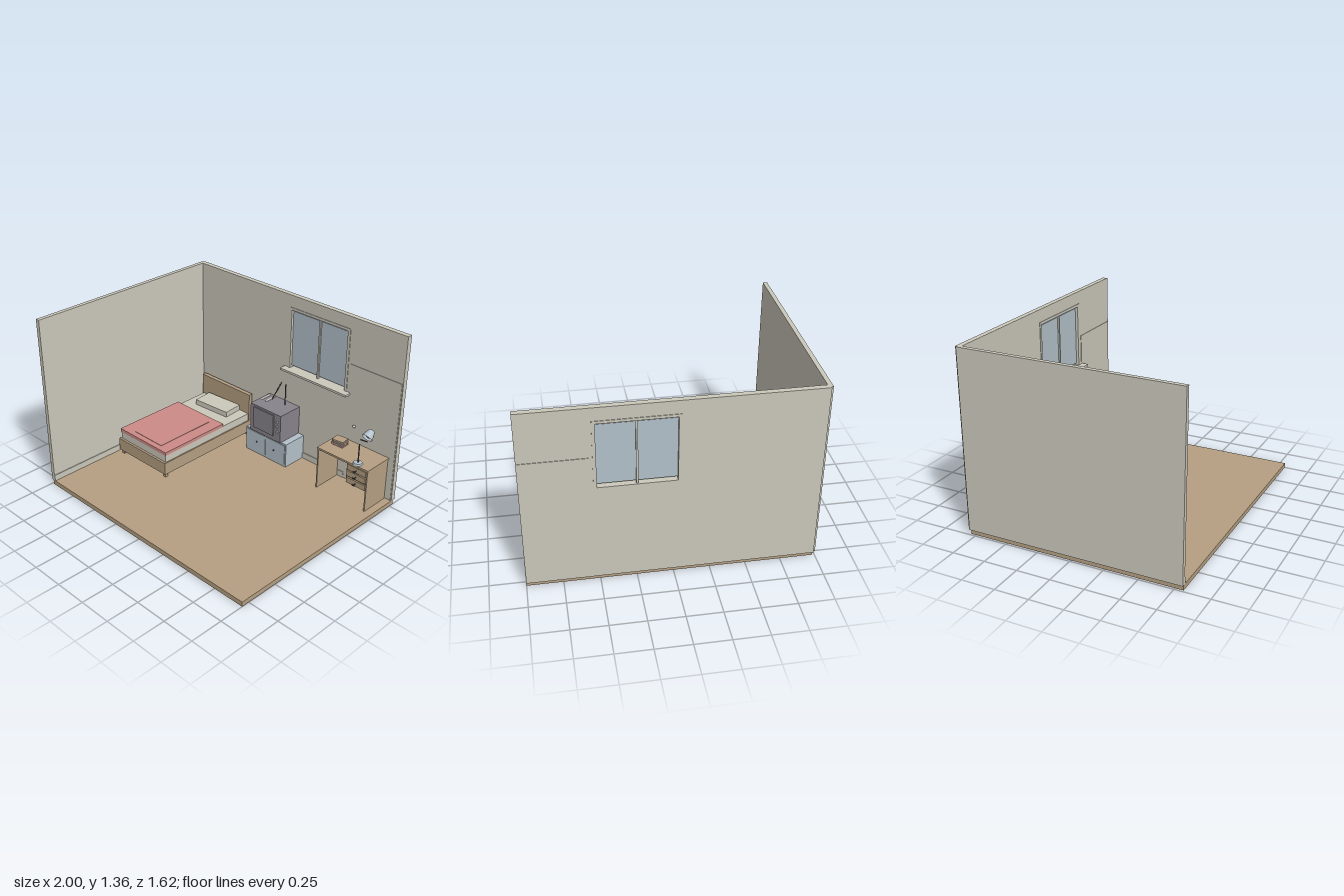
import * as THREE from 'three';

const mat = (name, color, side = THREE.FrontSide) => {
  const m = new THREE.MeshStandardMaterial({ color, side });
  m.name = name;
  return m;
};

export function createModel() {
  const wall = mat('warm white', 0xcbc8bb);
  const wood = mat('wood', 0xb59f82);
  const blue = mat('pale blue', 0xb3c1c9, THREE.DoubleSide);
  const pink = mat('pink', 0xcc8b87);
  const grey = mat('purple grey', 0x87838c);
  const dark = mat('dark metal', 0x55565b);

  const room = new THREE.Group();
  room.name = 'bedroom';
  const group = (name) => {
    const g = new THREE.Group();
    g.name = name;
    room.add(g);
    return g;
  };
  const add = (parent, name, geo, material, x = 0, y = 0, z = 0) => {
    const m = new THREE.Mesh(geo, material);
    m.name = name;
    m.position.set(x, y, z);
    parent.add(m);
    return m;
  };
  // Box given by its minimum and maximum on each axis
  const box = (parent, name, material, x0, x1, y0, y1, z0, z1) =>
    add(parent, name, new THREE.BoxGeometry(x1 - x0, y1 - y0, z1 - z0), material,
      (x0 + x1) / 2, (y0 + y1) / 2, (z0 + z1) / 2);
  // Thin cylinder between two points
  const rod = (parent, name, material, a, b, r) => {
    const p = new THREE.Vector3(...a), q = new THREE.Vector3(...b), d = q.clone().sub(p);
    const m = add(parent, name, new THREE.CylinderGeometry(r, r, d.length(), 10), material);
    m.position.copy(p).add(q).multiplyScalar(0.5);
    m.quaternion.setFromUnitVectors(new THREE.Vector3(0, 1, 0), d.normalize());
    return m;
  };
  // Upright panel with a rectangular hole
  const rect = (S, x0, x1, y0, y1) => new S([[x0, y0], [x1, y0], [x1, y1], [x0, y1]]
    .map(([x, y]) => new THREE.Vector2(x, y)));
  const panel = (parent, name, outer, hole, z0, z1) => {
    const s = rect(THREE.Shape, ...outer);
    s.holes.push(rect(THREE.Path, ...hole));
    add(parent, name, new THREE.ExtrudeGeometry(s, { depth: z1 - z0, bevelEnabled: false }), wall, 0, 0, z0);
  };

  // Floor, walls and baseboards
  const shell = group('room shell');
  const opening = [-0.02, 0.503, 0.77, 1.245];
  box(shell, 'floor', wood, -0.985, 1, 0, 0.037, -0.79, 0.81);
  box(shell, 'leftWall', wall, -1, -0.968, 0.037, 1.36, -0.795, 0.81);
  panel(shell, 'backWall', [-0.985, 1, 0.037, 1.36], opening, -0.81, -0.77);
  box(shell, 'leftBaseboard', wall, -0.97, -0.962, 0.037, 0.085, -0.77, 0.81);
  box(shell, 'backBaseboard', wall, -0.968, 0.55, 0.037, 0.085, -0.772, -0.764);

  // Window with two panes
  const win = group('window');
  panel(win, 'windowTrim', [-0.04, 0.525, 0.755, 1.265], opening, -0.814, -0.766);
  box(win, 'mullion', wall, 0.236, 0.25, 0.77, 1.245, -0.805, -0.775);
  for (const [x0, x1] of [[-0.02, 0.236], [0.25, 0.503]])
    box(win, 'pane', blue, x0, x1, 0.787, 1.23, -0.793, -0.787);
  box(win, 'windowSill', wall, -0.072, 0.56, 0.753, 0.77, -0.77, -0.714);

  // Flush door with a round knob
  const door = group('door');
  box(door, 'doorLeaf', wall, 0.548, 0.992, 0.04, 1.0, -0.814, -0.766);
  rod(door, 'knobStem', wall, [0.628, 0.523, -0.768], [0.628, 0.523, -0.755], 0.005);
  add(door, 'knob', new THREE.SphereGeometry(0.011, 16, 10), wall, 0.628, 0.523, -0.752);

  // Bed
  const bed = group('bed');
  box(bed, 'headboard', wood, -0.93, -0.395, 0.07, 0.405, -0.756, -0.722);
  box(bed, 'bedFrame', wood, -0.93, -0.395, 0.07, 0.17, -0.722, 0.2);
  box(bed, 'mattress', wall, -0.918, -0.405, 0.16, 0.232, -0.722, 0.182);
  box(bed, 'blanket', pink, -0.922, -0.401, 0.23, 0.257, -0.43, 0.186);
  box(bed, 'blanketFold', pink, -0.8, -0.5, 0.255, 0.26, -0.37, 0.14);
  const pillow = box(bed, 'pillow', wall, -0.825, -0.495, 0.23, 0.276, -0.71, -0.545);
  pillow.rotation.y = 0.066;
  for (const x of [-0.905, -0.42])
    for (const z of [-0.73, 0.173])
      box(bed, 'bedLeg', wood, x - 0.012, x + 0.012, 0.037, 0.07, z - 0.013, z + 0.013);

  // Low cabinet with two doors
  const cabinet = group('cabinet');
  box(cabinet, 'cabinetBody', blue, -0.272, 0.145, 0.037, 0.237, -0.77, -0.565);
  for (const s of [-1, 1]) {
    const c = -0.0635 + s * 0.1;
    box(cabinet, 'cabinetDoor', blue, c - 0.097, c + 0.097, 0.05, 0.225, -0.566, -0.56);
    add(cabinet, 'cabinetKnob', new THREE.SphereGeometry(0.006, 10, 8), dark, -0.0635 + s * 0.09, 0.145, -0.555);
  }

  // Television
  const tv = group('television');
  box(tv, 'tvBody', grey, -0.22, 0.092, 0.237, 0.472, -0.77, -0.552);
  box(tv, 'screen', grey, -0.182, 0.025, 0.278, 0.456, -0.552, -0.542);
  for (const y of [0.408, 0.37, 0.325]) {
    const k = add(tv, 'tvKnob', new THREE.CylinderGeometry(0.009, 0.009, 0.012, 14), wall, 0.06, y, -0.547);
    k.rotation.x = Math.PI / 2;
  }
  for (const x of [-0.197, -0.15])
    box(tv, 'tvVent', wall, x - 0.008, x + 0.008, 0.471, 0.475, -0.75, -0.65);
  for (const s of [-1, 1])
    rod(tv, 'antenna', dark, [-0.075 + s * 0.067, 0.47, -0.712], [-0.075 + s * 0.022, 0.615, -0.766], 0.004);

  // Desk with a drawer unit
  const desk = group('desk');
  box(desk, 'deskTop', wood, 0.48, 0.947, 0.37, 0.385, -0.766, -0.518);
  for (const x of [0.486, 0.932])
    box(desk, 'deskSide', wood, x, x + 0.01, 0.037, 0.37, -0.762, -0.522);
  box(desk, 'backPanel', wood, 0.496, 0.755, 0.215, 0.362, -0.755, -0.743);
  box(desk, 'drawerUnit', wood, 0.752, 0.932, 0.203, 0.37, -0.76, -0.532);
  for (const y of [0.342, 0.288, 0.232]) {
    box(desk, 'drawerFront', wood, 0.762, 0.928, y - 0.022, y + 0.022, -0.532, -0.52);
    rod(desk, 'drawerHandle', dark, [0.845, y, -0.522], [0.845, y, -0.496], 0.003);
    box(desk, 'drawerPull', dark, 0.834, 0.856, y - 0.004, y + 0.004, -0.498, -0.49);
  }

  // Stack of books, each with covers and pages
  const books = group('books');
  [[pink, 0.04], [wood, -0.1], [wood, 0.12]].forEach(([cover, turn], i) => {
    const b = new THREE.Group();
    b.name = 'book';
    b.position.set(0.572, 0.385 + i * 0.015, -0.672);
    b.rotation.y = turn;
    books.add(b);
    const w = 0.049 - i * 0.001;
    box(b, 'backCover', cover, -w, w, 0, 0.003, -0.038, 0.038);
    box(b, 'pages', wall, -w + 0.002, w - 0.003, 0.003, 0.012, -0.035, 0.035);
    box(b, 'frontCover', cover, -w, w, 0.012, 0.015, -0.038, 0.038);
    box(b, 'spine', cover, -w, -w + 0.003, 0, 0.015, -0.038, 0.038);
  });

  // Desk lamp with a tilted shade
  const lamp = group('desk lamp');
  const lx = 0.832;
  add(lamp, 'lampBase', new THREE.CylinderGeometry(0.031, 0.036, 0.012, 24), blue, lx, 0.391, -0.55);
  rod(lamp, 'lampPost', dark, [lx, 0.39, -0.552], [lx, 0.545, -0.552], 0.005);
  rod(lamp, 'lampArm', dark, [lx, 0.58, -0.56], [lx, 0.527, -0.642], 0.004);
  const shade = add(lamp, 'lampShade', new THREE.LatheGeometry(
    [[0, 0.034], [0.022, 0.034], [0.026, 0.026], [0.041, -0.024], [0.041, -0.032]]
      .map(([r, y]) => new THREE.Vector2(r, y)).reverse(), 24), blue, lx, 0.578, -0.662);
  shade.rotation.x = -0.95;
  const bulb = add(lamp, 'bulb', new THREE.SphereGeometry(0.018, 14, 10), wall, lx, 0.573, -0.655);
  bulb.scale.y = 1.1;

  return room;
}
